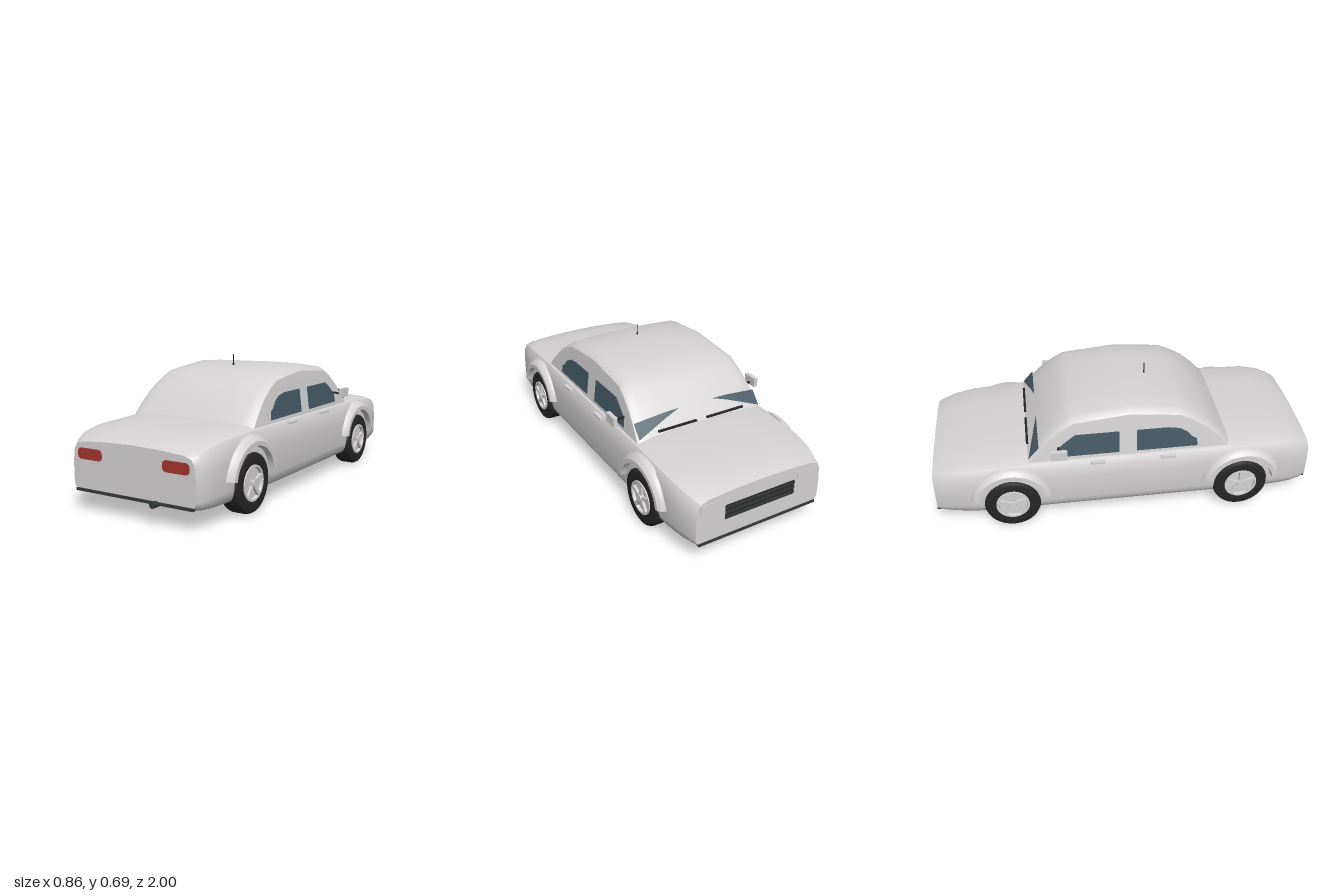
import * as THREE from 'three';
import { toCreasedNormals } from 'three/addons/utils/BufferGeometryUtils.js';

const mat = (name, color, side = THREE.FrontSide) => {
  const m = new THREE.MeshStandardMaterial({ color, side });
  m.name = name;
  return m;
};
const paint = mat('silver paint', 0xd4d2d2, THREE.DoubleSide);
const glass = mat('dark glass', 0x465a66, THREE.DoubleSide);
const rubber = mat('black rubber', 0x262626);
const trim = mat('dark trim', 0x343937);
const red = mat('red lens', 0xa5352c);

function add(parent, name, geometry, material, x = 0, y = 0, z = 0) {
  const mesh = new THREE.Mesh(geometry, material);
  mesh.name = name;
  mesh.position.set(x, y, z);
  parent.add(mesh);
  return mesh;
}
const box = (w, h, d) => new THREE.BoxGeometry(w, h, d);

// Skin over half sections [x, y] (top centre to bottom), mirrored and joined along z
function loft(stations) {
  const rings = stations.map(({ z, half }) => [
    ...half.map(([x, y]) => [x, y, z]),
    ...half.slice(1).reverse().map(([x, y]) => [-x, y, z]),
  ]);
  const n = rings[0].length, pos = rings.flat(2), idx = [];
  for (let i = 0; i < rings.length - 1; i++) {
    for (let j = 0; j < n; j++) {
      const a = i * n + j, b = i * n + (j + 1) % n;
      idx.push(a, a + n, b, b, a + n, b + n);
    }
  }
  const last = (rings.length - 1) * n;
  for (let j = 1; j < n - 1; j++) {
    idx.push(0, j, j + 1, last, last + j + 1, last + j);
  }
  const g = new THREE.BufferGeometry();
  g.setAttribute('position', new THREE.Float32BufferAttribute(pos, 3));
  g.setIndex(idx);
  return toCreasedNormals(g, 0.62);
}

// Lower body stations: z, half width, top, bottom, bottom corner size
const BODY = [
  [-1, 0.35, 0.348, 0.105, 0.4], [-0.97, 0.362, 0.358, 0.097, 0.6],
  [-0.9, 0.382, 0.374, 0.086, 0.9], [-0.8, 0.393, 0.388, 0.077, 1],
  [-0.55, 0.395, 0.402, 0.075, 1], [0, 0.395, 0.404, 0.075, 1],
  [0.55, 0.395, 0.408, 0.075, 1], [0.78, 0.393, 0.402, 0.075, 1],
  [0.88, 0.383, 0.385, 0.08, 0.9], [0.94, 0.365, 0.364, 0.093, 0.6],
  [0.97, 0.35, 0.348, 0.107, 0.4],
];
const bodySection = ([z, w, t, b, s]) => ({
  z,
  half: [[0, t], [w - 0.2, t - 0.004], [w - 0.06, t - 0.014], [w - 0.022, t - 0.027],
    [w - 0.006, t - 0.055], [w, t - 0.12], [w, b + 0.07 * s], [w - 0.008 * s, b + 0.04 * s],
    [w - 0.025 * s, b + 0.015 * s], [w - 0.065 * s, b], [0, b]],
});

// Cabin roof line: z, height
const ROOF = [[-0.515, 0.405], [-0.455, 0.475], [-0.4, 0.532], [-0.34, 0.58], [-0.28, 0.616],
  [-0.14, 0.63], [0, 0.643], [0.13, 0.632], [0.26, 0.618], [0.33, 0.585], [0.4, 0.54],
  [0.47, 0.475], [0.53, 0.405]];
const sideX = (y) => 0.36 - (y - 0.4) * 0.125;
const cabinSection = ([z, t]) => ({
  z,
  half: [[0, t], [0.17, t - 0.003], [0.29, t - 0.011], [sideX(t) - 0.014, t - 0.02],
    [sideX(t - 0.03), t - 0.035], [sideX(t - 0.05), t - 0.05], [sideX(0.35), 0.35]],
});

// Thin window plate drawn in (z, y) and leaned onto the cabin side
function windowPlate(points) {
  const shape = new THREE.Shape(points.map(([z, y]) => new THREE.Vector2(z, y)));
  const g = new THREE.ExtrudeGeometry(shape, { depth: 0.008, bevelEnabled: false });
  g.rotateY(-Math.PI / 2);
  const p = g.attributes.position;
  for (let i = 0; i < p.count; i++) p.setX(i, p.getX(i) + sideX(p.getY(i)) + 0.004);
  g.computeVertexNormals();
  return g;
}

// Rounded thin plate in the xy plane
function roundedPlate(w, h, r) {
  const s = new THREE.Shape(), x = w / 2 - r, y = h / 2 - r;
  s.absarc(x, y, r, 0, Math.PI / 2);
  s.absarc(-x, y, r, Math.PI / 2, Math.PI);
  s.absarc(-x, -y, r, Math.PI, Math.PI * 1.5);
  s.absarc(x, -y, r, Math.PI * 1.5, Math.PI * 2);
  return new THREE.ExtrudeGeometry(s, { depth: 0.006, bevelEnabled: false, curveSegments: 6 });
}

// Lathe turned so that its axis runs along x
function sideLathe(points, segments, start, length) {
  const pts = points.map(([r, x]) => new THREE.Vector2(r, x));
  const g = new THREE.LatheGeometry(pts, segments, start, length);
  g.rotateZ(-Math.PI / 2);
  return toCreasedNormals(g, 0.6);
}

function makeWheel(name) {
  const wheel = new THREE.Group();
  wheel.name = name;
  add(wheel, 'tyre', sideLathe([[0.08, -0.05], [0.125, -0.052], [0.14, -0.045], [0.146, -0.03],
    [0.146, 0.03], [0.14, 0.045], [0.125, 0.052], [0.084, 0.046]], 32), rubber);
  add(wheel, 'rimRing', sideLathe([[0.087, 0.04], [0.086, 0.052], [0.076, 0.052], [0.072, 0.035]], 32), paint);
  const disc = new THREE.CylinderGeometry(0.085, 0.085, 0.086, 32).rotateZ(Math.PI / 2);
  add(wheel, 'rimDisc', disc, paint, -0.004);
  const hub = new THREE.CylinderGeometry(0.018, 0.022, 0.02, 16).rotateZ(-Math.PI / 2);
  add(wheel, 'hub', hub, paint, 0.047);
  for (let i = 0; i < 5; i++) {
    const spoke = box(0.016, 0.068, 0.02).translate(0.044, 0.044, 0);
    add(wheel, 'spoke', spoke, paint).rotation.x = i * Math.PI * 0.4;
  }
  return wheel;
}

// Exposed triangle of the windscreen, following the crowned cabin front
function windscreenCorner() {
  const pos = [], idx = [], steps = 6;
  for (let i = 0; i <= steps; i++) {
    const f = i / steps, x = 0.1 + 0.254 * f;
    const drop = x < 0.17 ? 0.003 : 0.003 + (x - 0.17) * 0.09;
    for (const z of [-0.455 - 0.055 * f, -0.455]) {
      pos.push(x, 0.475 + (z + 0.455) * 1.167 - drop + 0.005, z - 0.002);
    }
    if (i < steps) idx.push(2 * i, 2 * i + 1, 2 * i + 2, 2 * i + 1, 2 * i + 3, 2 * i + 2);
  }
  const g = new THREE.BufferGeometry();
  g.setAttribute('position', new THREE.Float32BufferAttribute(pos, 3));
  g.setIndex(idx);
  g.computeVertexNormals();
  return g;
}

// Everything that exists once per side, built for +x
function makeSide() {
  const side = new THREE.Group();
  for (const [name, z] of [['tailEnd', 0.595], ['hoodEnd', -0.61]]) {
    const wheel = makeWheel(name + 'Wheel');
    wheel.position.set(0.358, 0.147, z);
    side.add(wheel);
    const arch = sideLathe([[0.216, 0.38], [0.213, 0.4], [0.203, 0.413], [0.19, 0.424],
      [0.168, 0.424], [0.162, 0.38]], 24, Math.PI + 0.2, Math.PI - 0.4);
    add(side, name + 'WheelArch', arch, paint, 0, 0.155, z);
  }
  add(side, 'tailEndWindow', windowPlate([[0.04, 0.4], [0.355, 0.4], [0.35, 0.44], [0.325, 0.455],
    [0.3, 0.485], [0.26, 0.508], [0.2, 0.518], [0.04, 0.518]]), glass);
  add(side, 'hoodEndWindow', windowPlate([[-0.05, 0.4], [-0.05, 0.518], [-0.27, 0.518],
    [-0.31, 0.49], [-0.36, 0.45], [-0.37, 0.4]]), glass);
  add(side, 'windscreenCorner', windscreenCorner(), glass);
  add(side, 'wiper', box(0.22, 0.008, 0.012), rubber, 0.14, 0.416, -0.513);
  for (const z of [0.198, -0.162]) add(side, 'doorHandle', box(0.02, 0.012, 0.075), paint, 0.396, 0.372, z);

  add(side, 'mirror', box(0.022, 0.048, 0.08), paint, 0.42, 0.457, -0.358);
  add(side, 'mirrorStalk', box(0.06, 0.009, 0.012), rubber, 0.383, 0.449, -0.36).rotation.z = -0.12;

  add(side, 'tailLight', roundedPlate(0.143, 0.053, 0.02), red, 0.246, 0.278, 0.968);
  add(side, 'headlight', roundedPlate(0.12, 0.045, 0.012), paint, 0.27, 0.29, -1.003);
  return side;
}

export function createModel() {
  const car = new THREE.Group();
  car.name = 'sedan';
  add(car, 'body', loft(BODY.map(bodySection)), paint);
  add(car, 'cabin', loft(ROOF.map(cabinSection)), paint);

  const left = makeSide();
  left.name = 'leftSide';
  const right = left.clone();
  right.name = 'rightSide';
  right.scale.x = -1;
  car.add(left, right);

  // Grille slats and lower bumper strips
  add(car, 'grilleBack', box(0.39, 0.075, 0.006), rubber, 0, 0.235, -1);
  for (let i = 0; i < 3; i++) add(car, 'grilleSlat', box(0.39, 0.014, 0.01), trim, 0, 0.21 + i * 0.025, -1.001);
  add(car, 'tailBumperStrip', box(0.67, 0.014, 0.02), trim, 0, 0.104, 0.965);
  add(car, 'hoodBumperStrip', box(0.67, 0.014, 0.02), trim, 0, 0.104, -0.994);

  // Exhaust and roof antenna
  const pipe = new THREE.CylinderGeometry(0.015, 0.015, 0.1, 16).rotateX(Math.PI / 2);
  add(car, 'exhaust', pipe, trim, 0.133, 0.1, 0.948);
  add(car, 'antennaBase', new THREE.CylinderGeometry(0.004, 0.005, 0.015, 10), rubber, 0, 0.637, 0.13);
  add(car, 'antenna', new THREE.CylinderGeometry(0.002, 0.002, 0.055, 8), rubber, 0, 0.662, 0.13);
  return car;
}
